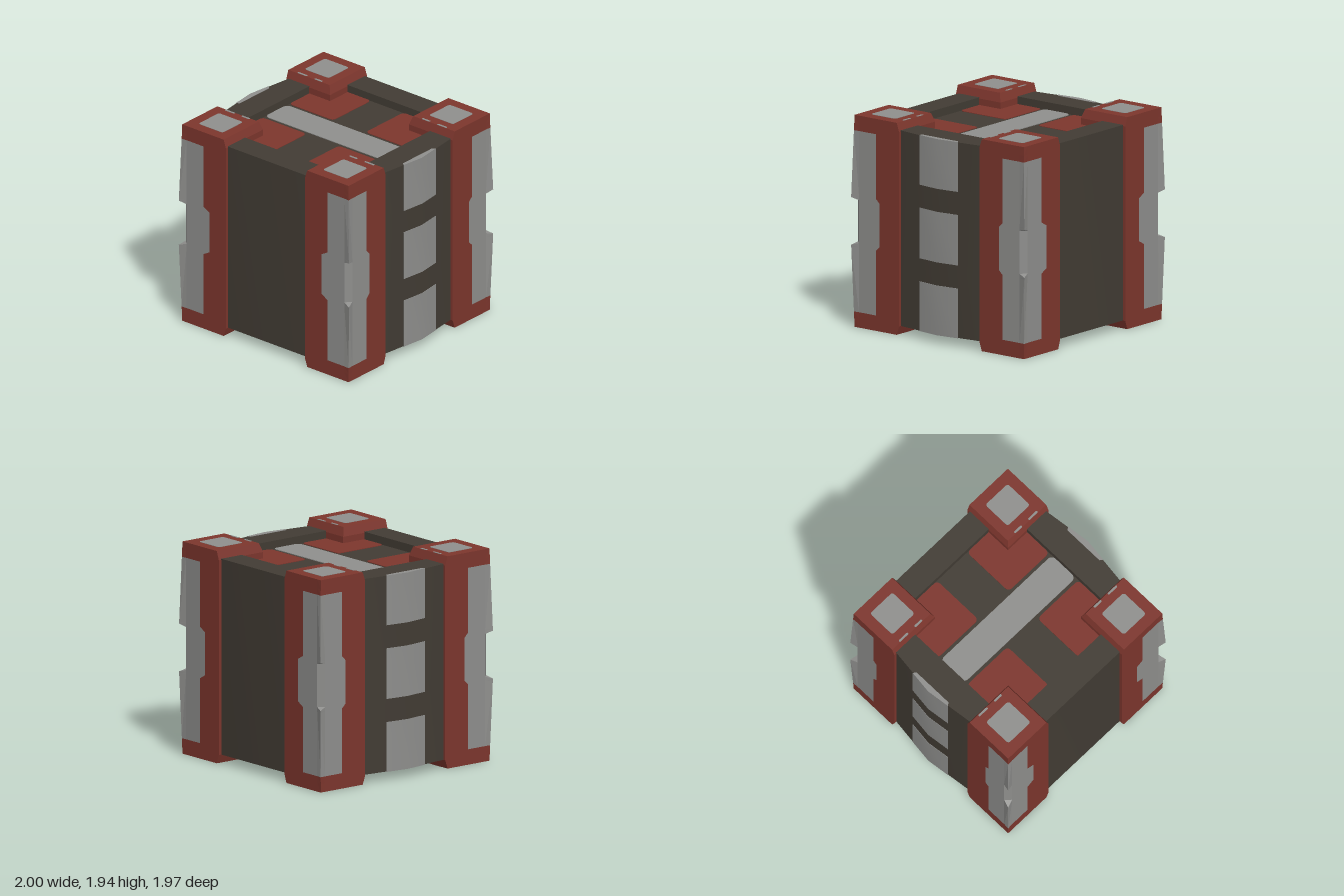
import * as THREE from 'three';
import { toCreasedNormals } from 'three/addons/utils/BufferGeometryUtils.js';

const H = 1.93;

export function createModel() {
  const red = new THREE.MeshStandardMaterial({ color: 0x7d362d, flatShading: true });
  const dark = new THREE.MeshStandardMaterial({ color: 0x423c34 });
  const grey = new THREE.MeshStandardMaterial({ color: 0x8f8f8d });
  red.name = 'red paint';
  dark.name = 'dark metal';
  grey.name = 'grey metal';
  const model = new THREE.Group();
  model.name = 'crate';

  const add = (name, geometry, material, parent = model) => {
    const mesh = new THREE.Mesh(geometry, material);
    mesh.name = name;
    parent.add(mesh);
    return mesh;
  };

  // Extrude an outline given as [x, z] points from y0 up to y1
  const prism = (points, y0, y1, hole) => {
    const toV = ([x, z]) => new THREE.Vector2(x, -z);
    const shape = new THREE.Shape(points.map(toV));
    if (hole) shape.holes.push(new THREE.Path(hole.map(toV)));
    const g = new THREE.ExtrudeGeometry(shape, { depth: y1 - y0, bevelEnabled: false });
    g.rotateX(-Math.PI / 2).translate(0, y0, 0);
    return toCreasedNormals(g, 0.5);
  };

  // Thin horizontal plate with rounded corners, its upper face at y
  const plate = (x, z, w, d, r, y) => {
    const s = new THREE.Shape();
    const a = w / 2, b = d / 2;
    s.absarc(a - r, b - r, r, 0, Math.PI / 2);
    s.absarc(r - a, b - r, r, Math.PI / 2, Math.PI);
    s.absarc(r - a, r - b, r, Math.PI, Math.PI * 1.5);
    s.absarc(a - r, r - b, r, Math.PI * 1.5, Math.PI * 2);
    const g = new THREE.ExtrudeGeometry(s, { depth: 0.008, bevelEnabled: false, curveSegments: 4 });
    return g.rotateX(-Math.PI / 2).translate(x, y - 0.008, z);
  };

  // Body: bowed left and right walls, open frame at top and bottom
  const outline = [[0.997, 0], [0.94, 0.46], [0.9, 0.9], [0.46, 0.937], [-0.46, 0.937], [-0.9, 0.9], [-0.94, 0.46],
    [-0.997, 0], [-0.94, -0.46], [-0.9, -0.9], [-0.46, -0.937], [0.46, -0.937], [0.9, -0.9], [0.94, -0.46]];
  const opening = [[0.7, 0.7], [0.7, -0.7], [-0.7, -0.7], [-0.7, 0.7]];
  add('bodyFrame', prism(outline, 0.08, 1.86, opening), dark);
  add('recessedPanels', new THREE.BoxGeometry(1.4, 1.64, 1.4).translate(0, H / 2 + 0.002, 0), dark);

  // Grey patches on the bowed walls, wrapping over the rims
  for (const s of [1, -1]) {
    const bow = [[1, 0], [0.973, 0.22], [0.945, 0.2], [0.945, -0.2], [0.973, -0.22]].map(([x, z]) => [x * s, z * s]);
    for (const [y0, y1] of [[0.077, 0.53], [0.74, 1.2], [1.41, 1.863]]) {
      add('sidePatch', prism(bow, y0, y1), grey);
    }
  }

  // Corner posts: cross-section rows of [y, inner, corner, side paint edge, front paint edge, notched]
  const half = [
    [0, 0.485, 0.965, 0.72, 0.72, 0],
    [0.08, 0.458, 0.967, 0.72, 0.72, 0],
    [0.14, 0.458, 0.969, 0.72, 0.72, 0],
    [0.73, 0.458, 0.986, 0.72, 0.72, 0],
    [0.748, 0.458, 0.987, 0.7, 0.69, 0],
    [0.77, 0.458, 0.987, 0.68, 0.65, 1],
  ];
  const rows = [...half, ...half.map(([y, ...rest]) => [H - y, ...rest]).reverse()];

  const postGeometry = (sx, sz) => {
    const rings = rows.map(([y, n, c, ws, wf, notched]) => {
      const a = notched ? [0.965, 0.915] : [c, c];
      const b = notched ? [0.915, 0.965] : [c, c];
      return [[n, n], [0.965, n], [0.965, ws], [0.965, 0.915], a, b, [0.915, 0.965], [wf, 0.965], [n, 0.965]]
        .map(([x, z]) => [x * sx, y, z * sz]);
    });
    const parts = [[], []];
    const tri = (k, a, b, c) => parts[k].push(...a, ...(sx * sz > 0 ? [...b, ...c] : [...c, ...b]));
    const n = rings[0].length;
    for (let r = 0; r < rings.length - 1; r++) {
      const lo = rings[r], up = rings[r + 1];
      const painted = rows[r][0] > 0.1 && rows[r + 1][0] < H - 0.1;
      for (let i = 0; i < n; i++) {
        const j = (i + 1) % n;
        const k = painted && i >= 2 && i <= 6 ? 1 : 0;
        tri(k, lo[i], up[i], up[j]);
        tri(k, lo[i], up[j], lo[j]);
      }
    }
    const top = rings[rings.length - 1], bottom = rings[0];
    for (let i = 1; i < n - 1; i++) {
      tri(0, top[0], top[i + 1], top[i]);
      tri(0, bottom[0], bottom[i], bottom[i + 1]);
    }
    const g = new THREE.BufferGeometry();
    g.setAttribute('position', new THREE.Float32BufferAttribute(parts.flat(), 3));
    g.addGroup(0, parts[0].length / 3, 0);
    g.addGroup(parts[0].length / 3, parts[1].length / 3, 1);
    g.computeVertexNormals();
    return g;
  };
  for (const sx of [1, -1]) for (const sz of [1, -1]) add('cornerPost', postGeometry(sx, sz), [red, grey]);

  // Painted details, the same on the top and the bottom
  for (const name of ['top', 'bottom']) {
    const end = new THREE.Group();
    end.name = name + 'Details';
    if (name === 'bottom') {
      end.rotation.x = Math.PI;
      end.position.y = H;
    }
    add('centreStripe', plate(0, 0, 1.398, 0.3, 0.05, 1.793), grey, end);
    for (const sx of [1, -1]) for (const sz of [1, -1]) {
      add('redPanel', plate(0.443 * sx, 0.44 * sz, 0.51, 0.518, 0.04, 1.792), red, end);
      add('postCap', plate(0.722 * sx, 0.725 * sz, 0.28, 0.28, 0.025, H + 0.003), grey, end);
      add('wornEdge', plate(0.81 * sx, 0.497 * sz, 0.11, 0.02, 0.009, H + 0.003), grey, end);
      add('wornEdge', plate(0.625 * sx, 0.497 * sz, 0.09, 0.02, 0.009, H + 0.003), grey, end);
    }
    model.add(end);
  }
  return model;
}
